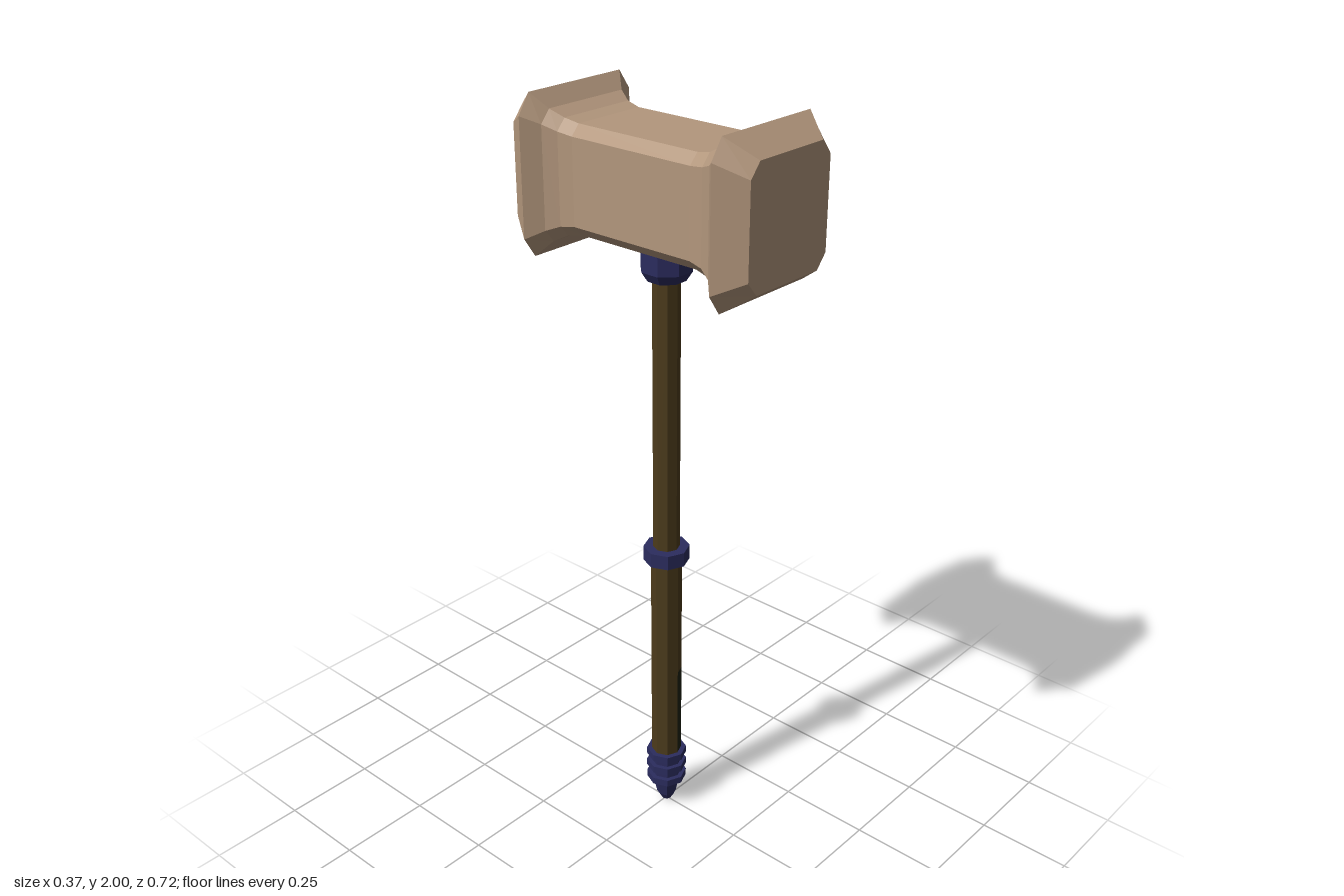
import * as THREE from 'three';

const material = (name, color) => {
  const m = new THREE.MeshStandardMaterial({ color });
  m.name = name;
  return m;
};

// Give every face its own normal for a faceted look
function faceted(geometry) {
  const g = geometry.index ? geometry.toNonIndexed() : geometry;
  g.computeVertexNormals();
  return g;
}

// Loft chamfered rectangles along z; section = [z, halfWidth, halfHeight, chamferX, chamferY]
function loft(sections) {
  const rings = sections.map(([z, w, h, cx, cy]) => [
    [w, -h + cy, z], [w, h - cy, z], [w - cx, h, z], [-w + cx, h, z],
    [-w, h - cy, z], [-w, -h + cy, z], [-w + cx, -h, z], [w - cx, -h, z],
  ]);
  const pos = [];
  const tri = (a, b, c) => pos.push(...a, ...b, ...c);
  for (let r = 0; r < rings.length - 1; r++) {
    const a = rings[r], b = rings[r + 1];
    for (let i = 0; i < 8; i++) {
      const j = (i + 1) % 8;
      tri(a[i], a[j], b[j]);
      tri(a[i], b[j], b[i]);
    }
  }
  const first = rings[0], last = rings[rings.length - 1];
  for (let i = 1; i < 7; i++) {
    tri(last[0], last[i], last[i + 1]);
    tri(first[0], first[i + 1], first[i]);
  }
  const g = new THREE.BufferGeometry();
  g.setAttribute('position', new THREE.Float32BufferAttribute(pos, 3));
  return faceted(g);
}

// Eight-sided turned part; profile = [radius, y] from bottom to top
function turned(profile, start = 0) {
  const points = profile.map(([r, y]) => new THREE.Vector2(r, y));
  return faceted(new THREE.LatheGeometry(points, 8, start));
}

export function createModel() {
  const group = new THREE.Group();
  const stone = material('tan stone', 0xb3977d);
  const metal = material('navy metal', 0x2b2c5e);
  const wood = material('brown wood', 0x4c3b1c);
  const stain = material('dark stained wood', 0x1e2210);

  const add = (name, geometry, mat) => {
    const mesh = new THREE.Mesh(geometry, mat);
    mesh.name = name;
    group.add(mesh);
    return mesh;
  };

  // Head: straight body flaring to a bevelled rim at both ends
  const half = [
    [0.18, 0.126, 0.134, 0.024, 0.026],
    [0.22, 0.133, 0.142, 0.025, 0.028],
    [0.255, 0.15, 0.16, 0.027, 0.032],
    [0.29, 0.187, 0.198, 0.034, 0.05],
    [0.36, 0.14, 0.15, 0.03, 0.036],
  ];
  const back = half.map(([z, ...rest]) => [-z, ...rest]).reverse();
  add('hammerHead', loft([...back, ...half]), stone).position.y = 1.802;

  // Collar under the head
  add('collar', turned([[0, 1.575], [0.05, 1.575], [0.066, 1.6], [0.066, 1.69], [0, 1.69]], Math.PI / 8), metal);

  // Upper and lower shaft, with a dark stain on the left side of the grip
  const shaft = (name, r, y0, y1, mat, start = 0, sides = 8) => {
    const g = new THREE.CylinderGeometry(r, r, y1 - y0, sides, 1, true, start, sides * Math.PI / 4);
    add(name, faceted(g), mat).position.y = (y0 + y1) / 2;
  };
  shaft('upperShaft', 0.035, 0.82, 1.6, wood);
  shaft('gripUpper', 0.041, 0.45, 0.82, wood);
  shaft('gripStain', 0.041, 0.16, 0.45, stain, 0, 4);
  shaft('gripLower', 0.041, 0.16, 0.45, wood, Math.PI, 4);

  // Ring between the two shaft sections
  add('middleRing', turned([[0.03, 0.797], [0.061, 0.797], [0.061, 0.837], [0.03, 0.837]]), metal);

  // Pommel: pointed tip and three thin rings
  add('pommel', turned([
    [0, 0], [0.014, 0.003], [0.027, 0.025], [0.038, 0.08], [0.042, 0.1], [0.043, 0.175], [0, 0.175],
  ]), metal);
  for (const y of [0.09, 0.13, 0.17]) {
    add('pommelRing', turned([[0.03, y - 0.01], [0.055, y - 0.01], [0.055, y + 0.01], [0.03, y + 0.01]]), metal);
  }

  return group;
}
